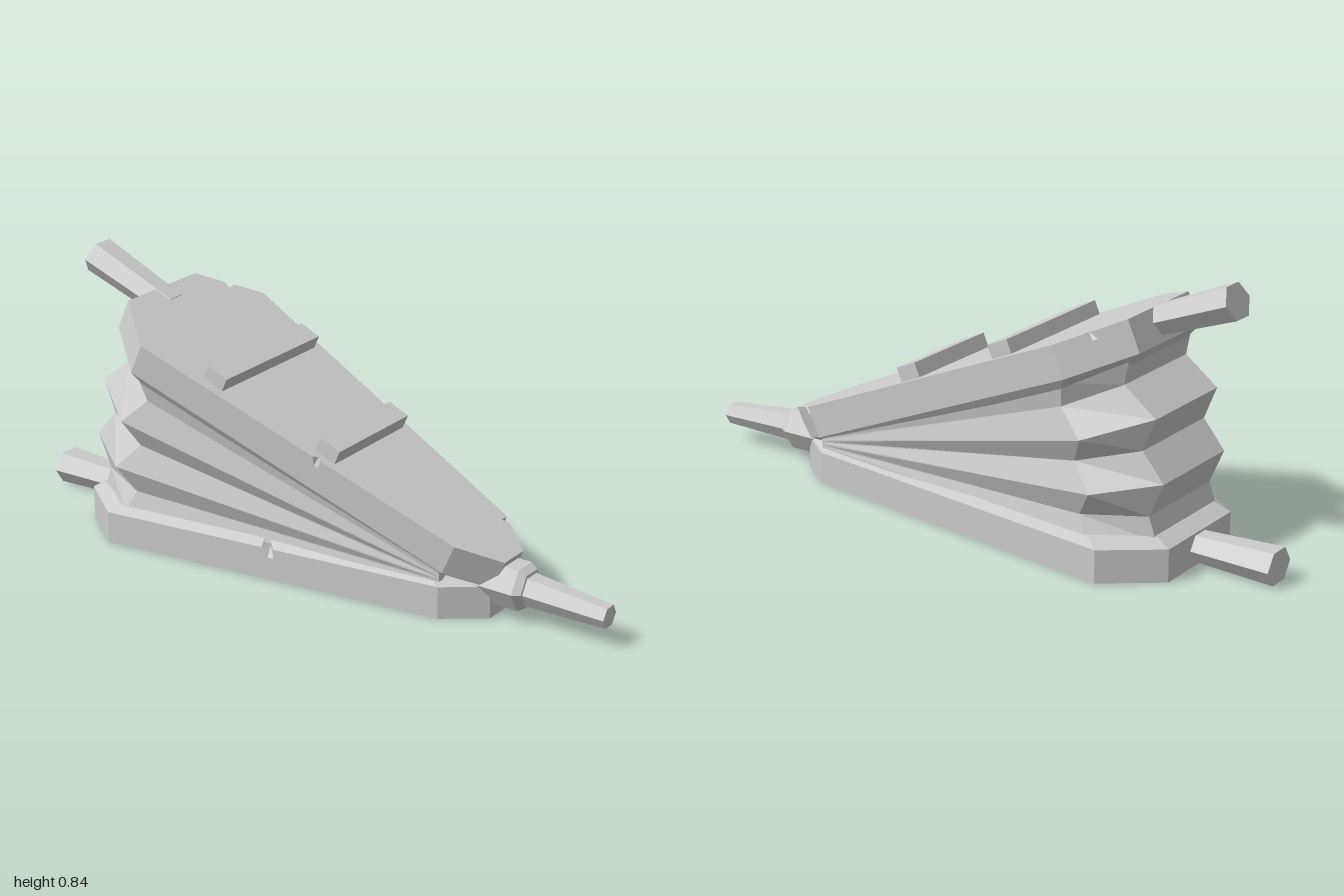
import * as THREE from 'three';

const material = new THREE.MeshStandardMaterial({ color: 0xcccccc, flatShading: true });
const P = (x, y, z) => new THREE.Vector3(x, y, z);

// Closed solid through rings of points, top ring first, each counter-clockwise from above.
function loft(rings) {
  const pos = [];
  const tri = (...pts) => pts.forEach(p => pos.push(p.x, p.y, p.z));
  const cap = ring => THREE.ShapeUtils.triangulateShape(ring.map(p => new THREE.Vector2(p.x, -p.z)), []);
  const first = rings[0], last = rings[rings.length - 1];
  cap(first).forEach(([a, b, c]) => tri(first[a], first[b], first[c]));
  cap(last).forEach(([a, b, c]) => tri(last[a], last[c], last[b]));
  for (let k = 0; k < rings.length - 1; k++) {
    const t = rings[k], b = rings[k + 1], n = t.length;
    for (let i = 0; i < n; i++) {
      const j = (i + 1) % n;
      tri(t[i], b[i], b[j]);
      tri(t[i], b[j], t[j]);
    }
  }
  const g = new THREE.BufferGeometry();
  g.setAttribute('position', new THREE.Float32BufferAttribute(pos, 3));
  g.computeVertexNormals();
  return g;
}

// Eight-sided board plan; each chip adds three points to an edge, the middle one pushed in by its depth.
function boardPlan([tip, shoulder, hip, back], chips, chipped) {
  const half = [tip, shoulder, hip, back];
  const corners = [...half.map(([x, z]) => [x, -z]), ...half.reverse()];
  const out = [];
  corners.forEach((a, i) => {
    const b = corners[(i + 1) % corners.length];
    out.push(a);
    const chip = chips.find(c => c.edge === i);
    if (!chip) return;
    const dx = b[0] - a[0], dz = b[1] - a[1], len = Math.hypot(dx, dz);
    [-1, 0, 1].forEach(s => {
      const t = chip.t + s * chip.w / len;
      const d = chipped && s === 0 ? chip.depth : 0;
      out.push([a[0] + dx * t + d * dz / len, a[1] + dz * t - d * dx / len]);
    });
  });
  return out;
}

export function createModel() {
  const group = new THREE.Group();
  const add = (name, geometry) => {
    const mesh = new THREE.Mesh(geometry, material);
    mesh.name = name;
    group.add(mesh);
    return mesh;
  };
  // Six-sided tapered rod between two points in the x-y plane
  const hexRod = (name, [x0, y0], [x1, y1], r0, r1, widen = 1) => {
    const rod = add(name, new THREE.CylinderGeometry(r1, r0, Math.hypot(x1 - x0, y1 - y0), 6));
    rod.position.set((x0 + x1) / 2, (y0 + y1) / 2, 0);
    rod.rotation.z = Math.atan2(y1 - y0, x1 - x0) - Math.PI / 2;
    rod.scale.z = widen;
  };

  // Lower board, flat on the ground with a bevelled upper edge
  const lower = chipped => boardPlan([[0.64, 0.05], [0.52, 0.14], [-0.58, 0.295], [-0.745, 0.17]],
    [{ edge: 5, t: 0.5, w: 0.02, depth: 0.02 }], chipped);
  const lowerRing = (y, chipped, inset = 1) =>
    lower(chipped).map(([x, z]) => P((x + 0.05) * inset - 0.05, y, z * inset));
  add('lowerBoard', loft([lowerRing(0.125, false, 0.93), lowerRing(0.1, true),
    lowerRing(0.07, false), lowerRing(0, false)]));

  // Upper board, sloping down to the nozzle
  const slope = 0.433, angle = -Math.atan(slope);
  const upper = chipped => boardPlan([[0.685, 0.05], [0.57, 0.137], [-0.43, 0.295], [-0.59, 0.16]], [
    { edge: 0, t: 0.85, w: 0.015, depth: 0.02 },
    { edge: 2, t: 0.5, w: 0.015, depth: 0.025 },
    { edge: 5, t: 0.57, w: 0.013, depth: 0.014 }], chipped);
  const upperRing = (depth, chipped, inset = 1) => upper(chipped).map(([x, z]) => {
    const px = (x - 0.05) * inset + 0.05;
    return P(px - 0.4 * depth, 0.74 - slope * (px + 0.59) - 0.92 * depth, z * inset);
  });
  add('upperBoard', loft([upperRing(0, true), upperRing(0.025, false),
    upperRing(0.1, false), upperRing(0.125, false, 0.93)]));

  // Pleated bag: each fold is [back x, back y, side x, side y, side z], fanning out from the nose
  const folds = [
    [-0.6, 0.63, -0.45, 0.56, 0.275],
    [-0.585, 0.55, -0.44, 0.485, 0.26],
    [-0.69, 0.47, -0.52, 0.41, 0.29],
    [-0.65, 0.37, -0.48, 0.33, 0.25],
    [-0.72, 0.285, -0.55, 0.255, 0.287],
    [-0.675, 0.18, -0.5, 0.175, 0.25],
    [-0.7, 0.11, -0.53, 0.11, 0.27],
  ];
  add('pleatedBag', loft(folds.map(([bx, by, sx, sy, sz], i) => {
    const fy = 0.145 - 0.005 * i;
    return [P(0.52, fy, 0.135), P(0.52, fy, -0.135), P(sx, sy, -sz),
      P(bx, by, -0.165), P(bx, by, 0.165), P(sx, sy, sz)];
  })));

  // Cross slats on the upper board
  [[-0.215, 0.582, 0.455], [0.15, 0.427, 0.348]].forEach(([x, y, length]) => {
    const slat = add('slat', new THREE.BoxGeometry(0.072, 0.078, length));
    slat.position.set(x, y, 0);
    slat.rotation.z = angle;
  });

  // Handles
  hexRod('lowerHandle', [-0.7, 0.053], [-1, 0.053], 0.044, 0.056, 1.15);
  hexRod('upperHandle', [-0.55, 0.682], [-0.84, 0.795], 0.046, 0.056, 1.15);

  // Nozzle with its collar
  hexRod('collar', [0.58, 0.105], [0.722, 0.105], 0.073, 0.073);
  hexRod('collarRim', [0.722, 0.105], [0.745, 0.105], 0.073, 0.058);
  hexRod('nozzle', [0.74, 0.102], [1, 0.091], 0.05, 0.036);

  return group;
}
